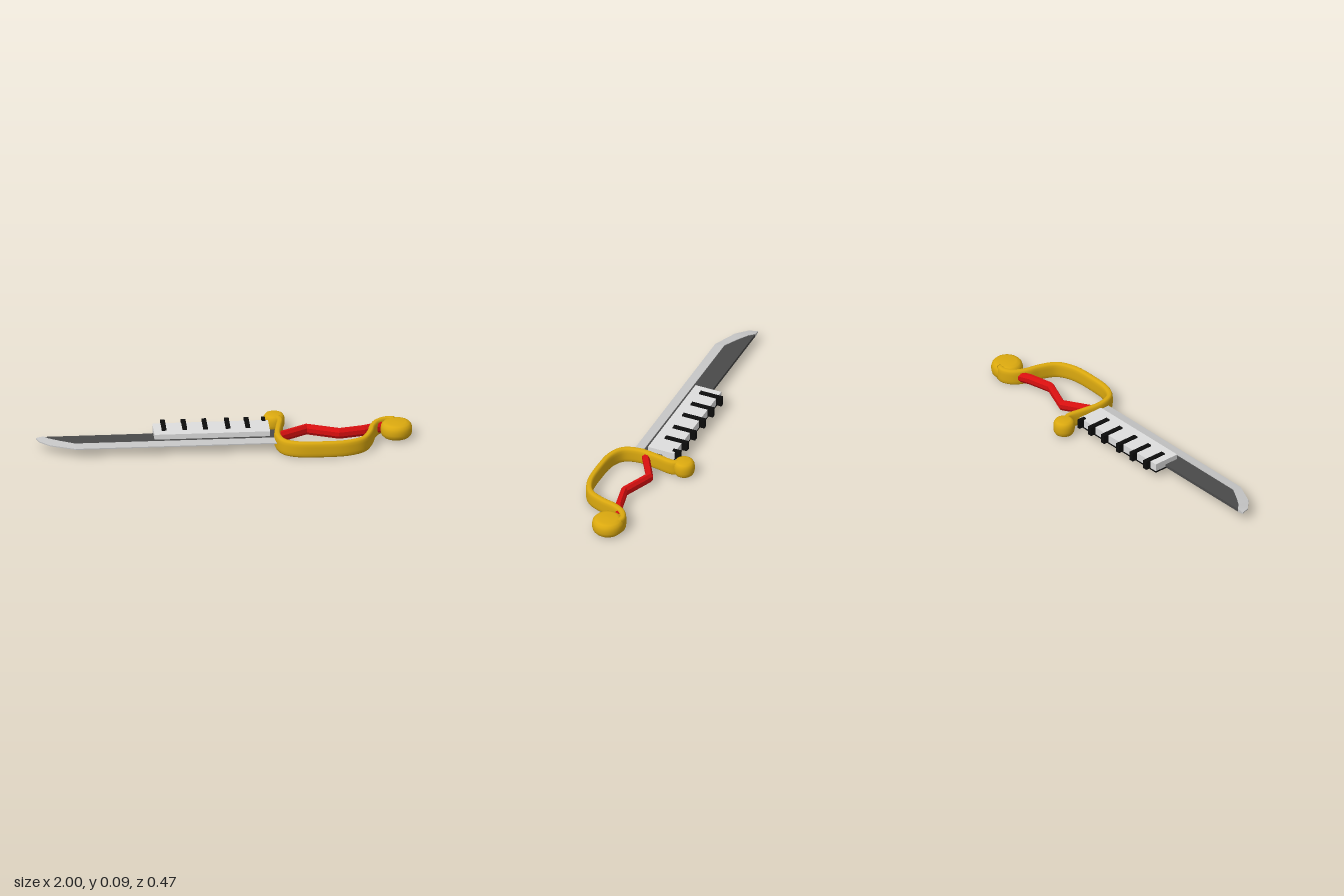
import * as THREE from 'three';

const mat = (name, color, side = THREE.FrontSide) => {
  const m = new THREE.MeshStandardMaterial({ color, side });
  m.name = name;
  return m;
};
const V = (x, y, z) => new THREE.Vector3(x, y, z);

// Skin a list of equal-length rings and close both ends
function loft(rings, flat) {
  const n = rings[0].length, pos = [], idx = [];
  rings.forEach(r => r.forEach(p => pos.push(p.x, p.y, p.z)));
  for (let i = 0; i < rings.length - 1; i++) {
    for (let j = 0; j < n; j++) {
      const k = (j + 1) % n, a = i * n + j, b = i * n + k;
      idx.push(a, a + n, b, b, a + n, b + n);
    }
  }
  const last = (rings.length - 1) * n;
  for (let j = 1; j < n - 1; j++) {
    idx.push(0, j, j + 1, last, last + j + 1, last + j);
  }
  let g = new THREE.BufferGeometry();
  g.setAttribute('position', new THREE.Float32BufferAttribute(pos, 3));
  g.setIndex(idx);
  if (flat) g = g.toNonIndexed();
  g.computeVertexNormals();
  return g;
}

// Sweep a rounded section along points that lie in a horizontal plane
function sweep(pts, halfW, halfH, sides, power, flat) {
  const bend = v => Math.sign(v) * Math.pow(Math.abs(v), power);
  const rings = pts.map((p, i) => {
    const t = pts[Math.min(i + 1, pts.length - 1)].clone().sub(pts[Math.max(i - 1, 0)]).normalize();
    const side = t.cross(V(0, 1, 0));
    return Array.from({ length: sides }, (_, j) => {
      const a = ((j + 0.5) / sides) * Math.PI * 2;
      return p.clone().addScaledVector(side, bend(Math.cos(a)) * halfW)
        .add(V(0, bend(Math.sin(a)) * halfH, 0));
    });
  });
  return loft(rings, flat);
}

export function createModel() {
  const root = new THREE.Group();
  root.name = 'keyboardSabre';
  const gold = mat('gold', 0xdba90f);
  const red = mat('red', 0xdb1010);
  const silver = mat('silver', 0xc6c6c6);
  const steel = mat('darkSteel', 0x4a4a4a);
  const white = mat('white', 0xdedede);
  const black = mat('black', 0x0c0c0c);

  const add = (name, geo, material, x = 0, y = 0, z = 0) => {
    const m = new THREE.Mesh(geo, material);
    m.name = name;
    m.position.set(x, y, z);
    root.add(m);
    return m;
  };

  // Blade: dark flat inside a ground silver edge that wraps the tip
  const inner = [[-0.96, -0.033], [-0.935, -0.005], [-0.88, 0.03], [-0.8, 0.073], [0.28, 0.075]];
  const outer = [[-1, -0.033], [-0.985, 0.015], [-0.93, 0.07], [-0.8, 0.127], [0.28, 0.128]];
  const mid = 0.05;
  const flat = new THREE.Shape([...inner, [0.28, -0.033]].map(p => new THREE.Vector2(...p)));
  const core = new THREE.ExtrudeGeometry(flat, { depth: 0.016, bevelEnabled: false });
  core.rotateX(Math.PI / 2);
  add('bladeFlat', core, steel, 0, mid + 0.008, 0);
  add('bladeEdge', loft(inner.map(([x, z], i) => {
    const [ox, oz] = outer[i];
    return [V(ox, mid - 0.003, oz), V(ox, mid + 0.003, oz), V(x, mid + 0.011, z), V(x, mid - 0.011, z)];
  }), true), silver);

  // Keyboard: white bed on a black base, with raised black keys
  add('whiteKeys', new THREE.BoxGeometry(0.615, 0.043, 0.15), white, -0.068, 0.0645, -0.025);
  add('keyboardBase', new THREE.BoxGeometry(0.615, 0.009, 0.15), black, -0.068, 0.0385, -0.025);
  [-0.32, -0.21, -0.1, 0.02, 0.125, 0.215].forEach((x, i) => {
    const end = i === 5 ? -0.085 : 0, depth = end + 0.13;
    add('blackKey', new THREE.BoxGeometry(i === 5 ? 0.018 : 0.025, 0.05, depth),
      black, x, 0.0685, end - depth / 2);
  });

  // Grip: kinked faceted rod
  const gripPts = [[0.28, 0.045], [0.44, -0.05], [0.61, 0.02], [0.74, -0.008], [0.84, -0.05]];
  add('grip', sweep(gripPts.map(([x, z]) => V(x, 0.048, z)), 0.021, 0.03, 8, 1, true), red);

  // Guard: tall rounded band from the quillon round to the pommel
  const guardPts = [[0.285, -0.165], [0.303, -0.12], [0.29, -0.03], [0.278, 0.08], [0.305, 0.165],
    [0.37, 0.204], [0.5, 0.216], [0.64, 0.207], [0.725, 0.165], [0.768, 0.08], [0.788, 0.0],
    [0.82, -0.058], [0.87, -0.086], [0.91, -0.08]];
  const path = new THREE.CatmullRomCurve3(guardPts.map(([x, z]) => V(x, 0.046, z)));
  add('guard', sweep(path.getPoints(80), 0.018, 0.044, 16, 0.6, false), gold);

  // Rounded drums at both ends of the guard
  const drum = r => {
    const h = 0.09;
    const profile = [[0, 0], [r * 0.6, 0.001], [r * 0.82, 0.007], [r * 0.95, 0.019], [r, 0.035]];
    const pts = [...profile, ...profile.slice().reverse().map(([x, y]) => [x, h - y])];
    return new THREE.LatheGeometry(pts.map(p => new THREE.Vector2(...p)), 32);
  };
  add('quillonEnd', drum(0.057), gold, 0.277, 0.001, -0.177);
  const pommel = add('pommel', drum(0.084), gold, 0.916, 0.001, -0.021);
  pommel.scale.y = 1.0;
  return root;
}
